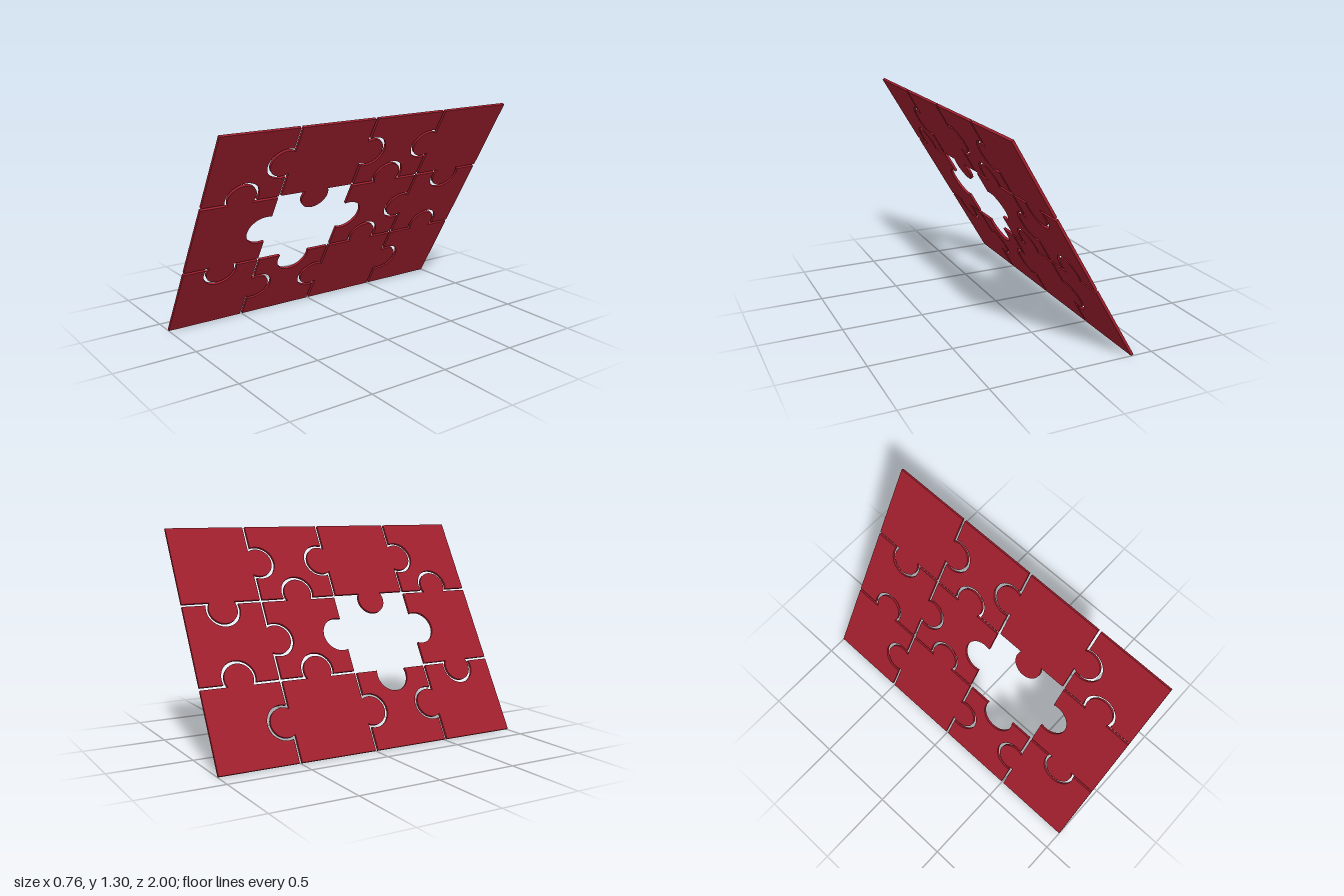
import * as THREE from 'three';
import { toCreasedNormals } from 'three/addons/utils/BufferGeometryUtils.js';

const SIZE = 0.488, GAP = 0.016, THICK = 0.016, PITCH = SIZE + GAP;
const COLS = 4, ROWS = 3, ARC_STEPS = 32;
const TAB = { radius: 0.09, offset: 0.046 };
const SOCKET = { radius: 0.106, offset: 0.033 };

// Knob direction on each seam, rows from the bottom: +1 points right / up, -1 left / down
const sideways = [[1, -1, 1], [-1, 1, -1], [-1, 1, -1]];
const upward = [[-1, -1, 1, 1], [1, -1, 1, -1]];
const MISSING = { col: 1, row: 1 };

// One side of a piece; kind is 1 for a tab, -1 for a socket, 0 for straight
function sidePoints(dx, dy, kind) {
  const h = SIZE / 2, nx = dy, ny = -dx;
  const place = (t, n) => new THREE.Vector2(dx * t + nx * (h + n), dy * t + ny * (h + n));
  const points = [place(-h, 0)];
  if (kind !== 0) {
    const { radius, offset } = kind > 0 ? TAB : SOCKET;
    const neck = Math.asin(offset / radius);
    for (let i = 0; i <= ARC_STEPS; i++) {
      const a = Math.PI + neck - (Math.PI + 2 * neck) * i / ARC_STEPS;
      points.push(place(radius * Math.cos(a), kind * (offset + radius * Math.sin(a))));
    }
  }
  return points;
}

// Knob kinds around a piece: bottom, right, top, left
function pieceGeometry(col, row) {
  const kinds = [
    row > 0 ? -upward[row - 1][col] : 0,
    col < COLS - 1 ? sideways[row][col] : 0,
    row < ROWS - 1 ? upward[row][col] : 0,
    col > 0 ? -sideways[row][col - 1] : 0,
  ];
  const directions = [[1, 0], [0, 1], [-1, 0], [0, -1]];
  const outline = directions.flatMap(([dx, dy], i) => sidePoints(dx, dy, kinds[i]));
  const geometry = new THREE.ExtrudeGeometry(new THREE.Shape(outline), { depth: THICK, bevelEnabled: false });
  geometry.translate(0, 0, -THICK / 2);
  return toCreasedNormals(geometry, 0.5);
}

export function createModel() {
  const model = new THREE.Group();
  model.name = 'jigsawPuzzle';
  const material = new THREE.MeshStandardMaterial({ color: 0xa01f2d });

  // Sheet of pieces with one left out
  const sheet = new THREE.Group();
  sheet.name = 'puzzleSheet';
  for (let row = 0; row < ROWS; row++) {
    for (let col = 0; col < COLS; col++) {
      if (row === MISSING.row && col === MISSING.col) continue;
      const piece = new THREE.Mesh(pieceGeometry(col, row), material);
      piece.name = `puzzlePieceRow${row + 1}Column${col + 1}`;
      piece.position.set((col - (COLS - 1) / 2) * PITCH, (row - (ROWS - 1) / 2) * PITCH, 0);
      sheet.add(piece);
    }
  }

  // Lean the sheet 60 degrees from the ground, its columns running towards -z
  const tilt = Math.PI / 3;
  const across = new THREE.Vector3(0, 0, -1);
  const up = new THREE.Vector3(Math.cos(tilt), Math.sin(tilt), 0);
  const normal = new THREE.Vector3().crossVectors(across, up);
  sheet.quaternion.setFromRotationMatrix(new THREE.Matrix4().makeBasis(across, up, normal));
  const height = ROWS * SIZE + (ROWS - 1) * GAP;
  sheet.position.y = (height * Math.sin(tilt) + THICK * Math.cos(tilt)) / 2;
  model.add(sheet);
  return model;
}
